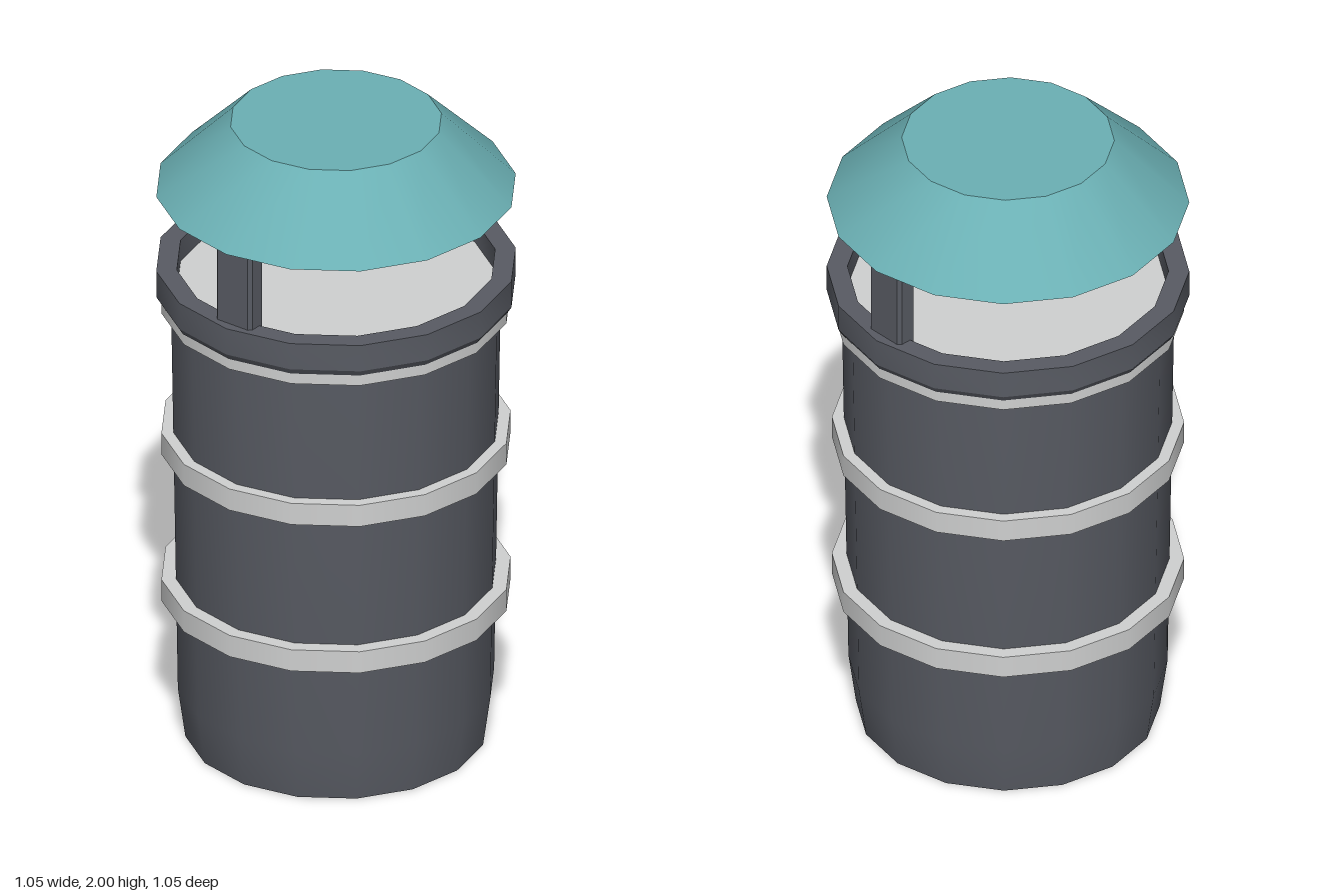
import * as THREE from 'three';
import { toCreasedNormals } from 'three/addons/utils/BufferGeometryUtils.js';

const SIDES = 16;

function material(name, color) {
  const m = new THREE.MeshStandardMaterial({ color });
  m.name = name;
  return m;
}

// Revolves [radius, y] points, smooth around and sharp at the edges.
function turned(points) {
  const profile = points.map(([r, y]) => new THREE.Vector2(r, y));
  return toCreasedNormals(new THREE.LatheGeometry(profile, SIDES), 0.5);
}

export function createModel() {
  const model = new THREE.Group();
  model.name = 'litterBin';
  const charcoal = material('charcoal', 0x585b63);
  const lightGrey = material('lightGrey', 0xcfd0d0);
  const teal = material('teal', 0x6bb0b4);

  function add(name, geometry, mat, x = 0, y = 0, z = 0) {
    const mesh = new THREE.Mesh(geometry, mat);
    mesh.name = name;
    mesh.position.set(x, y, z);
    model.add(mesh);
    return mesh;
  }

  // Tapered body with a narrowed foot
  add('body', turned([[0, 0], [0.44, 0], [0.462, 0.16], [0.482, 1.43], [0, 1.43]]), charcoal);

  // Solid bands; the top one also closes the opening inside the rim
  [0.487, 0.97, 1.435].forEach((y, i) => {
    add('band' + (i + 1), new THREE.CylinderGeometry(0.51, 0.51, 0.07, SIDES), lightGrey, 0, y);
  });

  // Open rim with a bevelled lower edge
  add('rim', turned([
    [0.465, 1.435], [0.513, 1.435], [0.525, 1.455], [0.525, 1.54], [0.465, 1.54], [0.465, 1.435],
  ]), charcoal);

  // Chamfered posts between rim and cap
  const w = 0.033, d = 0.065, c = 0.01;
  const section = new THREE.Shape([
    [-w + c, -d], [w - c, -d], [w, -d + c], [w, d - c],
    [w - c, d], [-w + c, d], [-w, d - c], [-w, -d + c],
  ].map(([x, y]) => new THREE.Vector2(x, y)));
  const post = new THREE.ExtrudeGeometry(section, { depth: 0.325, bevelEnabled: false });
  post.rotateX(-Math.PI / 2);
  for (const side of [-1, 1]) {
    add(side > 0 ? 'leftPost' : 'rightPost', post, charcoal, side * 0.462, 1.465);
  }

  // Flat-topped conical cap, closed underneath
  add('cap', new THREE.CylinderGeometry(0.308, 0.525, 0.215, SIDES), teal, 0, 1.8925);

  return model;
}
